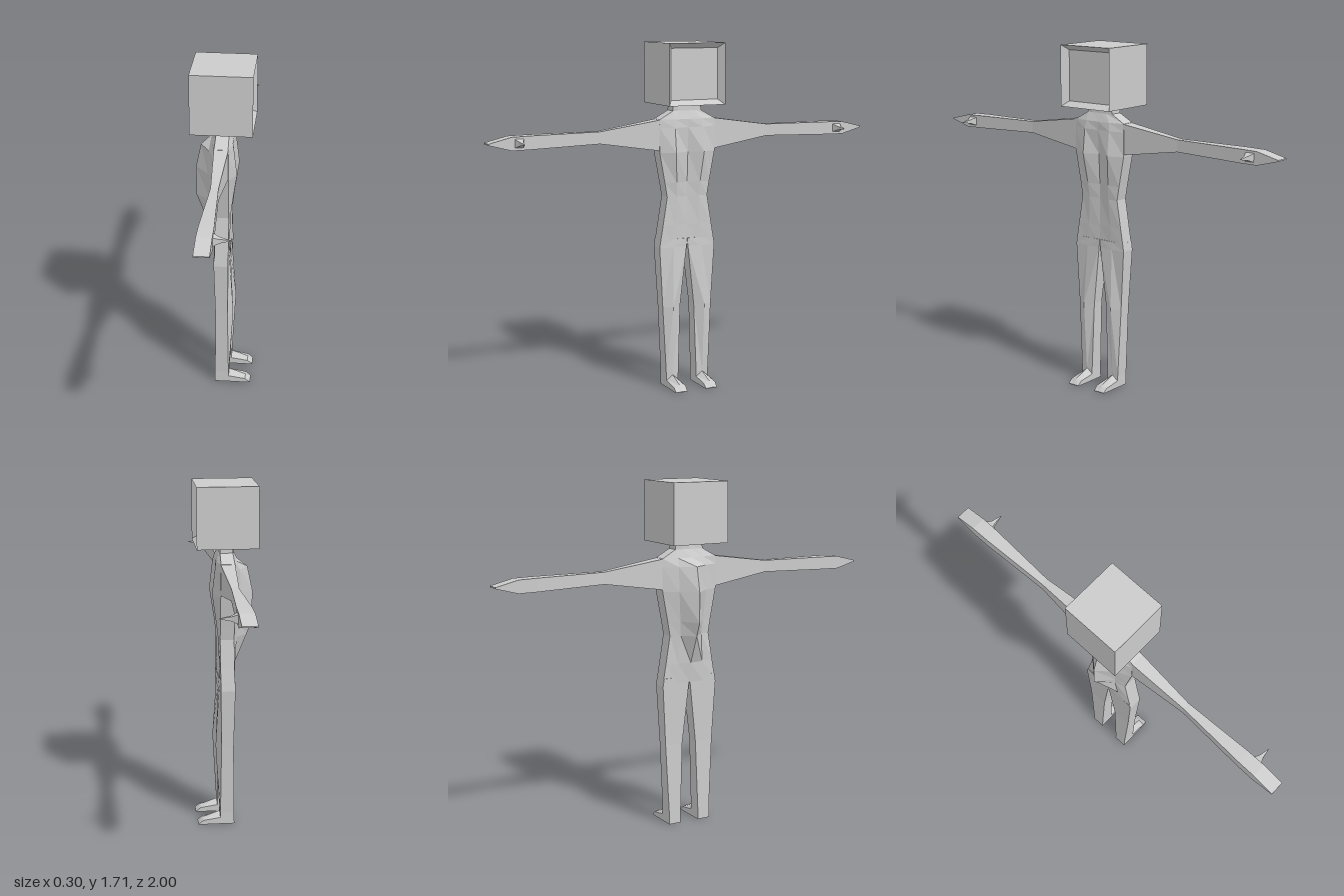
import * as THREE from 'three';

const material = new THREE.MeshStandardMaterial({ color: 0xcccccc, flatShading: true });

// Skins a series of equal-length rings of [x, y, z] points and closes both ends.
function loft(name, rings) {
  const tris = [];
  const n = rings[0].length;
  for (let r = 0; r < rings.length - 1; r++) {
    const a = rings[r], b = rings[r + 1];
    for (let i = 0; i < n; i++) {
      const j = (i + 1) % n;
      tris.push([a[i], a[j], b[j]], [a[i], b[j], b[i]]);
    }
  }
  const centre = (ring) => [0, 1, 2].map((k) => ring.reduce((s, p) => s + p[k], 0) / n);
  const first = rings[0], last = rings[rings.length - 1];
  const c0 = centre(first), c1 = centre(last);
  for (let i = 0; i < n; i++) {
    const j = (i + 1) % n;
    tris.push([c0, first[j], first[i]], [c1, last[i], last[j]]);
  }
  // The enclosed volume tells whether the faces point outwards.
  const v = (p) => new THREE.Vector3(...p);
  const volume = tris.reduce((s, [a, b, c]) => s + v(a).dot(v(b).cross(v(c))), 0);
  if (volume < 0) tris.forEach((t) => t.reverse());
  const geometry = new THREE.BufferGeometry();
  geometry.setAttribute('position', new THREE.Float32BufferAttribute(tris.flat(2), 3));
  geometry.computeVertexNormals();
  const mesh = new THREE.Mesh(geometry, material);
  mesh.name = name;
  return mesh;
}

// Rectangle facing along x.
const square = (x, y, z, h, w = h) => [[x, y - h, z - w], [x, y - h, z + w], [x, y + h, z + w], [x, y + h, z - w]];

// Rectangle facing along z.
const armRing = (z, low, high, x) => [[-x, low, z], [x, low, z], [x, high, z], [-x, high, z]];

// Torso slice: half width, corner depth, mid-line offset, front centre/mid depth, back mid/centre depth.
function torsoRing([y, w, c, m, fc, fm, bm, bc]) {
  return [
    [fc, y, 0], [fm, y, m], [c, y, w], [-c, y, w], [bm, y, m],
    [bc, y, 0], [bm, y, -m], [-c, y, -w], [c, y, -w], [fm, y, -m],
  ];
}

// Leg slice with a ridge down the shin.
function legRing(side, [y, inner, outer, front, shin, back]) {
  const mid = (inner + outer) / 2;
  return [
    [shin, y, side * mid], [front, y, side * outer], [back, y, side * outer],
    [back, y, side * inner], [front, y, side * inner],
  ];
}

// Foot slice with a ridge along the top.
function footRing(x, z, w, edge, ridge) {
  return [[x, 0, z - w], [x, 0, z + w], [x, edge, z + w], [x, ridge, z], [x, edge, z - w]];
}

export function createModel() {
  const model = new THREE.Group();
  model.name = 'figure';

  // Cube head with a sloped recess for the face
  model.add(loft('head', [
    square(-0.148, 1.56, 0, 0.148), square(0.148, 1.56, 0, 0.148), square(0.113, 1.56, 0, 0.123),
  ]));

  // Torso with grooved chest, ridged back and neck
  model.add(loft('torso', [
    [0.72, 0.148, 0.034, 0.075, 0.03, 0.033, -0.038, -0.038],
    [0.82, 0.131, 0.034, 0.068, 0.03, 0.035, -0.043, -0.05],
    [0.96, 0.108, 0.034, 0.058, 0.03, 0.04, -0.052, -0.108],
    [1.03, 0.12, 0.034, 0.063, 0.032, 0.048, -0.058, -0.135],
    [1.18, 0.148, 0.035, 0.075, 0.04, 0.07, -0.07, -0.135],
    [1.3, 0.148, 0.035, 0.075, 0.048, 0.056, -0.065, -0.11],
    [1.34, 0.146, 0.033, 0.07, 0.048, 0.05, -0.05, -0.06],
    [1.38, 0.075, 0.031, 0.04, 0.034, 0.034, -0.037, -0.04],
    [1.42, 0.073, 0.031, 0.04, 0.031, 0.031, -0.035, -0.035],
  ].map(torsoRing)));

  for (const side of [1, -1]) {
    const prefix = side > 0 ? 'front' : 'rear';

    // Arm ending in a wedge-shaped hand
    model.add(loft(prefix + 'Arm', [
      armRing(side * 0.12, 1.185, 1.345, 0.034),
      armRing(side * 0.15, 1.19, 1.338, 0.034),
      armRing(side * 0.45, 1.236, 1.294, 0.018),
      armRing(side * 0.8, 1.228, 1.292, 0.034),
      armRing(side * 0.89, 1.227, 1.29, 0.035),
      armRing(side, 1.257, 1.263, 0.035),
    ]));

    // Spiked thumb
    model.add(loft(prefix + 'Thumb', [
      square(0.03, 1.26, side * 0.853, 0.022, 0.024),
      square(0.062, 1.26, side * 0.853, 0.01),
      square(0.113, 1.26, side * 0.853, 0.001),
    ]));

    // Leg
    model.add(loft(prefix + 'Leg', [
      [0.75, 0, 0.143, 0.034, 0.034, -0.038],
      [0.71, 0.004, 0.149, 0.034, 0.036, -0.037],
      [0.41, 0.038, 0.132, 0.03, 0.055, -0.03],
      [0.06, 0.05, 0.115, 0.034, 0.036, -0.035],
      [0, 0.05, 0.115, 0.034, 0.034, -0.036],
    ].map((slice) => legRing(side, slice))));

    // Foot
    model.add(loft(prefix + 'Foot', [
      footRing(0.03, side * 0.082, 0.032, 0.035, 0.062),
      footRing(0.12, side * 0.082, 0.032, 0.022, 0.03),
      footRing(0.145, side * 0.082, 0.03, 0.002, 0.004),
    ]));
  }
  return model;
}
